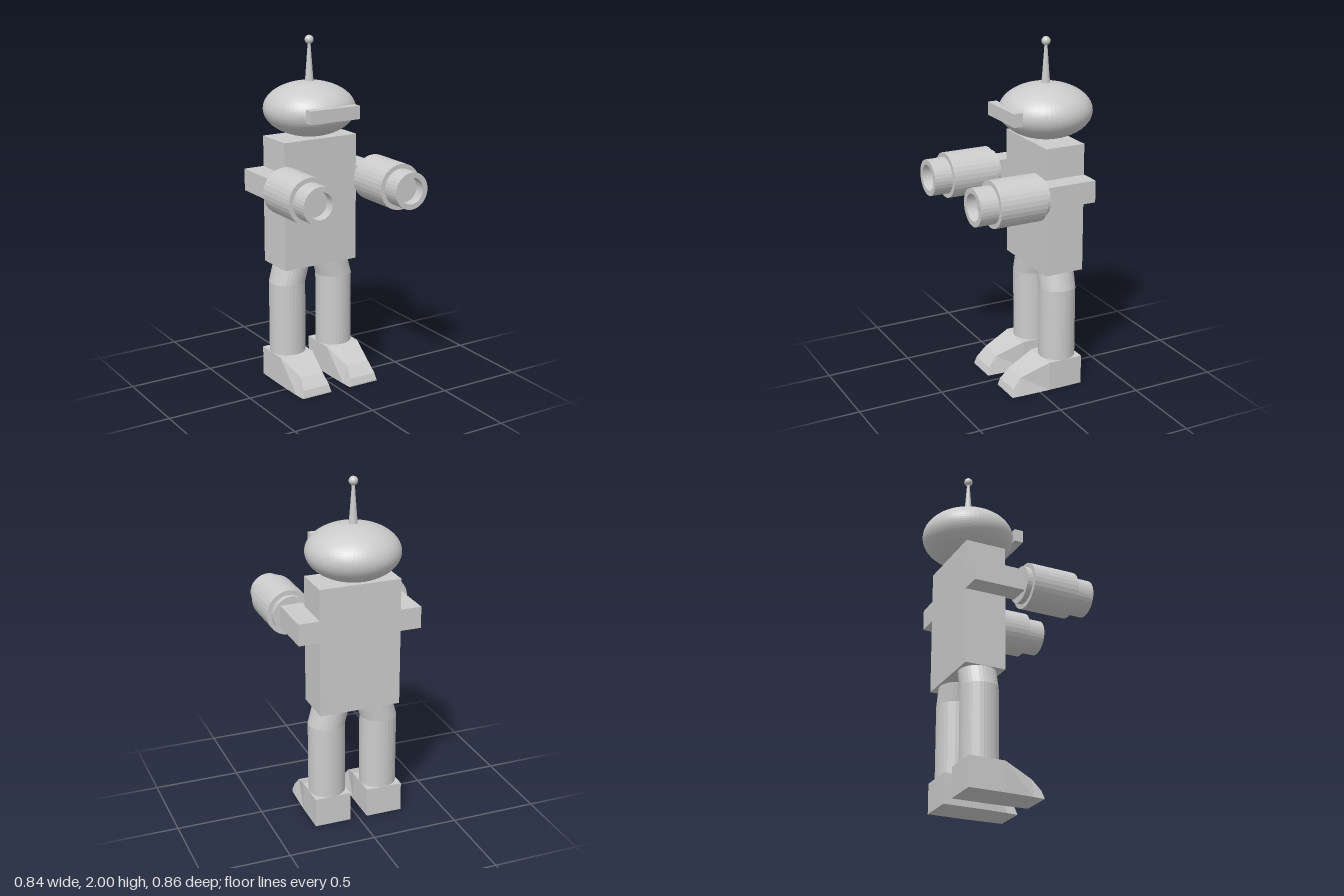
import * as THREE from 'three';

const mat = new THREE.MeshStandardMaterial({ color: 0xcccccc, flatShading: true });

function add(parent, name, geometry, x = 0, y = 0, z = 0) {
  const mesh = new THREE.Mesh(geometry, mat);
  mesh.name = name;
  mesh.position.set(x, y, z);
  parent.add(mesh);
  return mesh;
}

// Box given by its limits on each axis
function addBox(parent, name, [x0, x1], [y0, y1], [z0, z1]) {
  return add(parent, name, new THREE.BoxGeometry(x1 - x0, y1 - y0, z1 - z0),
    (x0 + x1) / 2, (y0 + y1) / 2, (z0 + z1) / 2);
}

// Stepped barrel with a shallow bore, turned around +z
function barrelGeometry() {
  const profile = [
    [0, 0.015], [0.105, 0.015], [0.105, 0.047], [0.131, 0.047], [0.131, 0.32],
    [0.105, 0.32], [0.105, 0.427], [0.075, 0.427], [0.075, 0.367], [0, 0.367],
  ].map(([r, h]) => new THREE.Vector2(r, h));
  return new THREE.LatheGeometry(profile, 32).rotateX(Math.PI / 2);
}

// Round leg, straight up to the bend and then leaning inwards at the hip
function legGeometry(side) {
  const profile = [[0, 0.16], [0.105, 0.16], [0.105, 0.595], [0.105, 0.72], [0, 0.72]]
    .map(([r, h]) => new THREE.Vector2(r, h));
  const geometry = new THREE.LatheGeometry(profile, 32);
  const p = geometry.attributes.position;
  for (let i = 0; i < p.count; i++) {
    const lean = Math.max(0, p.getY(i) - 0.595) * 0.27;
    p.setX(i, p.getX(i) - side * lean);
  }
  return geometry;
}

// Wedge foot lofted from four-cornered sections, heel to toe
function footGeometry() {
  // z, top height, half width at the sole, half width at the top
  const sections = [
    [-0.268, 0.172, 0.106, 0.106],
    [-0.06, 0.172, 0.106, 0.106],
    [0.108, 0.105, 0.1, 0.073],
    [0.16, 0.045, 0.096, 0.084],
    [0.172, 0.006, 0.094, 0.092],
  ];
  const vertices = [];
  const indices = [];
  for (const [z, top, sole, upper] of sections) {
    vertices.push(-sole, 0, z, sole, 0, z, upper, top, z, -upper, top, z);
  }
  const quad = (a, b, c, d) => indices.push(a, b, c, a, c, d);
  for (let s = 0; s < sections.length - 1; s++) {
    for (let k = 0; k < 4; k++) {
      const a = s * 4 + k, b = s * 4 + (k + 1) % 4;
      quad(a, b, b + 4, a + 4);
    }
  }
  const end = (sections.length - 1) * 4;
  quad(3, 2, 1, 0);
  quad(end, end + 1, end + 2, end + 3);
  const geometry = new THREE.BufferGeometry();
  geometry.setAttribute('position', new THREE.Float32BufferAttribute(vertices, 3));
  geometry.setIndex(indices);
  const flat = geometry.toNonIndexed();
  flat.computeVertexNormals();
  return flat;
}

export function createModel() {
  const robot = new THREE.Group();
  robot.name = 'robot';

  addBox(robot, 'torso', [-0.236, 0.236], [0.698, 1.437], [-0.281, -0.044]);

  // Flattened head with visor and antenna
  const head = new THREE.Group();
  head.name = 'head';
  robot.add(head);
  add(head, 'skull', new THREE.SphereGeometry(0.262, 64, 40).scale(1, 0.592, 1), 0, 1.59, -0.167);
  addBox(head, 'visor', [-0.157, 0.157], [1.557, 1.632], [0.058, 0.111]);
  add(head, 'antenna', new THREE.CylinderGeometry(0.007, 0.025, 0.24, 32), 0, 1.85, -0.167);
  add(head, 'antennaBall', new THREE.SphereGeometry(0.025, 24, 16), 0, 1.975, -0.167);

  // Arms and legs, mirrored
  for (const side of [1, -1]) {
    const label = side > 0 ? 'left' : 'right';

    const arm = new THREE.Group();
    arm.name = label + 'Arm';
    robot.add(arm);
    const upper = addBox(arm, 'upperArm', [0.225, 0.357], [1.135, 1.26], [-0.284, 0.03]);
    upper.position.x *= side;
    add(arm, 'barrel', barrelGeometry(), side * 0.291, 1.198, 0);

    const leg = new THREE.Group();
    leg.name = label + 'Leg';
    robot.add(leg);
    add(leg, 'shin', legGeometry(side), side * 0.157, 0, -0.163);
    add(leg, 'foot', footGeometry(), side * 0.157, 0, 0);
  }
  return robot;
}
